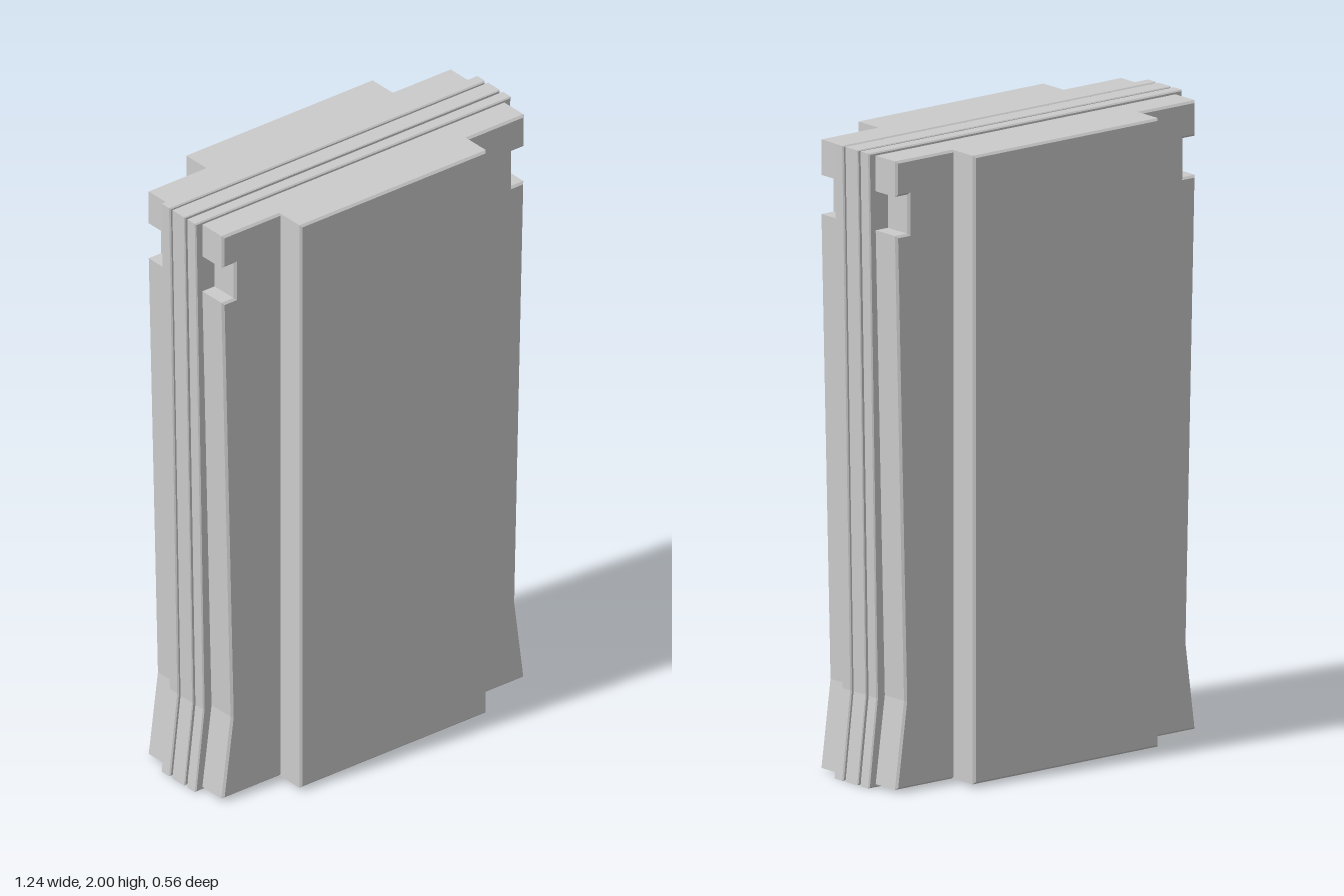
import * as THREE from 'three';

const material = new THREE.MeshStandardMaterial({ color: 0xcccccc, flatShading: true });

// Symmetric slab: right-hand outline from bottom to top, mirrored to the left, chamfered edges
function slab(name, right, z0, z1, bevel) {
  const left = right.map(([x, y]) => [-x, y]).reverse();
  const shape = new THREE.Shape([...right, ...left].map(([x, y]) => new THREE.Vector2(x, y)));
  const geometry = new THREE.ExtrudeGeometry(shape, {
    depth: z1 - z0 - 2 * bevel,
    bevelEnabled: bevel > 0,
    bevelThickness: bevel,
    bevelSize: bevel,
    bevelOffset: -bevel,
    bevelSegments: 1,
  });
  geometry.translate(0, 0, z0 + bevel);
  const mesh = new THREE.Mesh(geometry, material);
  mesh.name = name;
  return mesh;
}

// Waisted outline of the central plates, shrunk by an inset
const plateOutline = (inset) => [
  [0.62 - inset, inset],
  [0.588 - inset, 0.28],
  [0.62 - inset, 2 - inset],
];

export function createModel() {
  const group = new THREE.Group();
  group.name = 'casing';

  // Central plates separated by two narrow grooves
  group.add(slab('grooveFloor', plateOutline(0.012), -0.07, 0.07, 0));
  group.add(slab('middlePlate', plateOutline(0), -0.031, 0.031, 0.003));
  group.add(slab('frontPlate', plateOutline(0), 0.04, 0.084, 0.004));
  group.add(slab('backPlate', plateOutline(0), -0.084, -0.04, 0.004));

  // Waisted shells with a square notch near the top of each side
  const shellOutline = [
    [0.593, 0.01], [0.557, 0.285], [0.593, 1.755], [0.545, 1.755],
    [0.545, 1.878], [0.593, 1.878], [0.593, 1.99],
  ];
  // Raised panels down the middle of each shell
  const panelOutline = [[0.366, 0.01], [0.366, 1.99]];

  for (const [side, s] of [['front', 1], ['back', -1]]) {
    const span = (a, b) => (s > 0 ? [a, b] : [-b, -a]);
    group.add(slab(side + 'Shell', shellOutline, ...span(0.05, 0.183), 0.007));
    group.add(slab(side + 'Panel', panelOutline, ...span(0.15, 0.281), 0.007));
  }
  return group;
}
